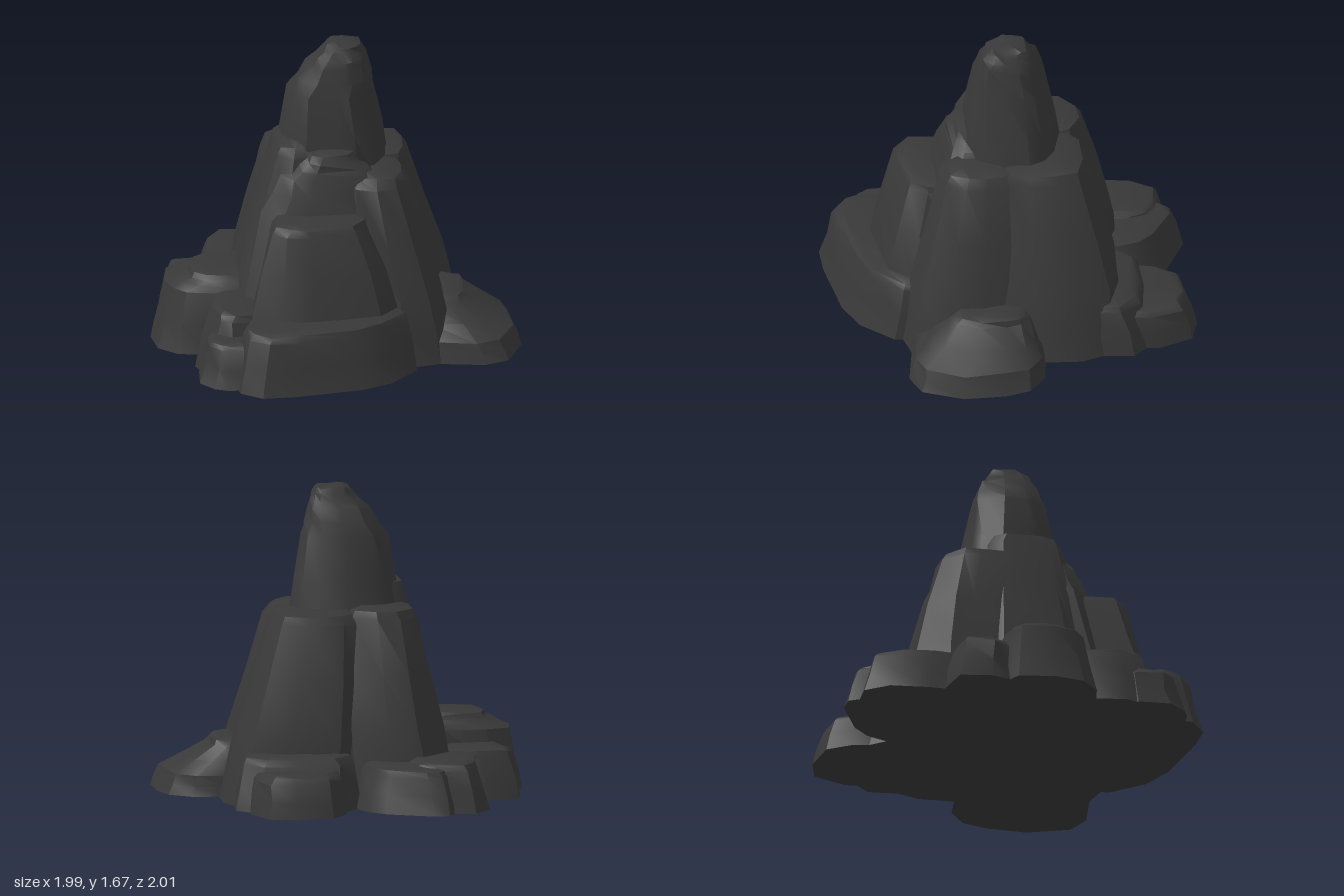
import * as THREE from 'three';
import { toCreasedNormals } from 'three/addons/utils/BufferGeometryUtils.js';

const { lerp } = THREE.MathUtils;

// Small seeded noise, from -0.5 to 0.5
function makeRandom(seed) {
  let s = seed * 7919 + 13;
  return () => {
    s = (s * 16807) % 2147483647;
    return s / 2147483647 - 0.5;
  };
}

// Irregular boxy-round outline, fitted to the unit square
function rockOutline(sides, rand) {
  const soften = v => Math.sign(v) * Math.abs(v) ** 0.72;
  const points = [];
  for (let i = 0; i < sides; i++) {
    const a = (i + 0.5 + rand() * 0.6) / sides * Math.PI * 2;
    const r = 1 + rand() * 0.1;
    points.push(new THREE.Vector2(soften(Math.cos(a)) * r, soften(Math.sin(a)) * r));
  }
  const box = new THREE.Box2().setFromPoints(points);
  const size = box.getSize(new THREE.Vector2());
  return points.map(p => p.sub(box.min).divide(size));
}

// Lofts the outline through rings [y, x0, x1, z0, z1], then bevels the crown;
// skew slides the +x side along z
function rockGeometry(rings, bevel, sides, skew, seed) {
  const rand = makeRandom(seed);
  const outline = rockOutline(sides, rand);
  const levels = [];
  rings.forEach((ring, k) => {
    // A chipped ring halfway up each wall
    if (k) levels.push(ring.map((v, j) => lerp(rings[k - 1][j], v, 0.5)));
    levels.push(ring);
  });
  const [y, x0, x1, z0, z1] = rings[rings.length - 1];
  [[0.7, 0.45], [1, 1.3]].forEach(([rise, inset]) => {
    const d = bevel * inset;
    levels.push([y + bevel * rise, x0 + d, x1 - d, z0 + d, z1 - d]);
  });

  const pos = [], index = [];
  levels.forEach(([h, a, b, c, d], k) => {
    const rough = k ? 0.02 : 0;
    outline.forEach(p => pos.push(
      lerp(a, b, p.x) + rand() * rough,
      h + rand() * rough * 0.6,
      lerp(c, d, p.y) + skew * (p.x - 0.5) + rand() * rough));
  });
  const last = levels.length - 1;
  for (let k = 0; k < last; k++) {
    for (let i = 0; i < sides; i++) {
      const a = k * sides + i, b = k * sides + (i + 1) % sides;
      index.push(a, a + sides, b + sides, a, b + sides, b);
    }
  }
  // Fan caps at the foot and the crown
  [0, last].forEach(k => {
    const [h, a, b, c, d] = levels[k];
    const centre = pos.length / 3;
    pos.push((a + b) / 2, h, (c + d) / 2);
    for (let i = 0; i < sides; i++) {
      const p = k * sides + i, q = k * sides + (i + 1) % sides;
      index.push(centre, ...(k ? [q, p] : [p, q]));
    }
  });
  const g = new THREE.BufferGeometry();
  g.setAttribute('position', new THREE.Float32BufferAttribute(pos, 3));
  g.setIndex(index);
  return toCreasedNormals(g, 0.55);
}

export function createModel() {
  const group = new THREE.Group();
  group.name = 'rockSpire';
  const stone = new THREE.MeshStandardMaterial({ color: 0x383838 });
  stone.name = 'darkStone';

  const rock = (name, bevel, sides, skew, ...rings) => {
    const seed = group.children.length + 1;
    const mesh = new THREE.Mesh(rockGeometry(rings, bevel, sides, skew, seed), stone);
    mesh.name = name;
    group.add(mesh);
  };

  // Leaning peak
  rock('peak', 0.04, 14, 0,
    [0.95, -0.35, 0.28, -0.28, 0.27],
    [1.4, -0.265, 0.2, -0.2, 0.2],
    [1.55, -0.16, 0.17, -0.155, 0.16],
    [1.625, -0.075, 0.145, -0.11, 0.12]);

  // Tall shoulders around the peak
  rock('backLeftShoulder', 0.06, 11, 0,
    [0, -0.12, 0.66, -0.6, 0.16],
    [0.35, -0.12, 0.58, -0.57, 0.14],
    [0.96, -0.12, 0.39, -0.41, 0.1]);
  rock('backRightShoulder', 0.06, 11, 0,
    [0, -0.62, 0.05, -0.61, 0.2],
    [0.4, -0.54, 0.03, -0.56, 0.15],
    [0.98, -0.4, 0, -0.4, 0.1]);
  rock('rightShoulder', 0.07, 10, 0,
    [0, -0.64, 0, -0.28, 0.46],
    [0.45, -0.53, 0, -0.24, 0.4],
    [1.09, -0.36, 0, -0.17, 0.28]);
  rock('frontShoulder', 0.06, 10, 0,
    [0, -0.57, 0.42, 0, 0.67],
    [0.8, -0.4, 0.28, 0, 0.43],
    [0.99, -0.31, 0.22, 0, 0.37],
    [1.07, -0.21, 0.12, 0, 0.335]);
  rock('frontLeftShoulder', 0.07, 11, 0,
    [0, 0.05, 0.64, -0.1, 0.6],
    [0.35, 0.05, 0.565, -0.08, 0.53],
    [0.94, 0.03, 0.38, -0.05, 0.38]);

  // Stepped slabs at the front
  rock('upperFrontSlab', 0.05, 10, -0.08,
    [0, -0.52, 0.38, 0.2, 0.79],
    [0.33, -0.46, 0.33, 0.2, 0.73],
    [0.765, -0.36, 0.16, 0.2, 0.61]);
  rock('lowerFrontSlab', 0.05, 13, -0.25,
    [0, -0.56, 0.42, 0.3, 0.95],
    [0.28, -0.51, 0.37, 0.3, 0.88]);

  // Low boulders around the foot
  rock('frontRightBoulder', 0.04, 10, 0,
    [0, -0.77, -0.33, 0.2, 0.75],
    [0.305, -0.7, -0.37, 0.22, 0.68]);
  rock('frontRightStone', 0.03, 10, 0.05,
    [0, -0.75, -0.38, 0.52, 0.9],
    [0.2, -0.7, -0.41, 0.53, 0.84]);
  rock('rightBoulder', 0.035, 11, 0,
    [0, -1, -0.4, -0.18, 0.39],
    [0.33, -0.925, -0.4, -0.13, 0.33],
    [0.385, -0.8, -0.4, -0.09, 0.28]);
  rock('rightStone', 0.04, 9, 0,
    [0, -0.96, -0.5, -0.44, -0.1],
    [0.23, -0.91, -0.48, -0.4, -0.1]);
  rock('backRightBoulder', 0.04, 11, 0,
    [0, -0.76, -0.3, -0.88, -0.25],
    [0.22, -0.7, -0.32, -0.81, -0.25]);
  rock('backRightStone', 0.04, 12, 0.2,
    [0, -0.58, -0.04, -0.9, -0.25],
    [0.2, -0.54, -0.08, -0.84, -0.25]);
  rock('backLeftBoulder', 0.04, 11, 0,
    [0, 0, 0.54, -1, -0.3],
    [0.18, 0.03, 0.52, -0.95, -0.3]);
  rock('backLeftStone', 0.05, 10, 0,
    [0, -0.07, 0.61, -0.78, -0.25],
    [0.24, -0.03, 0.56, -0.7, -0.25]);
  rock('leftBoulder', 0.04, 12, 0,
    [0, 0.4, 0.99, -0.18, 0.56],
    [0.11, 0.4, 0.94, -0.16, 0.53],
    [0.255, 0.4, 0.7, -0.1, 0.33]);

  // Core closing the clefts between the shoulders
  rock('core', 0.06, 14, 0,
    [0, -0.6, 0.6, -0.55, 0.5],
    [0.4, -0.48, 0.5, -0.48, 0.42],
    [0.9, -0.36, 0.35, -0.34, 0.3]);

  return group;
}
